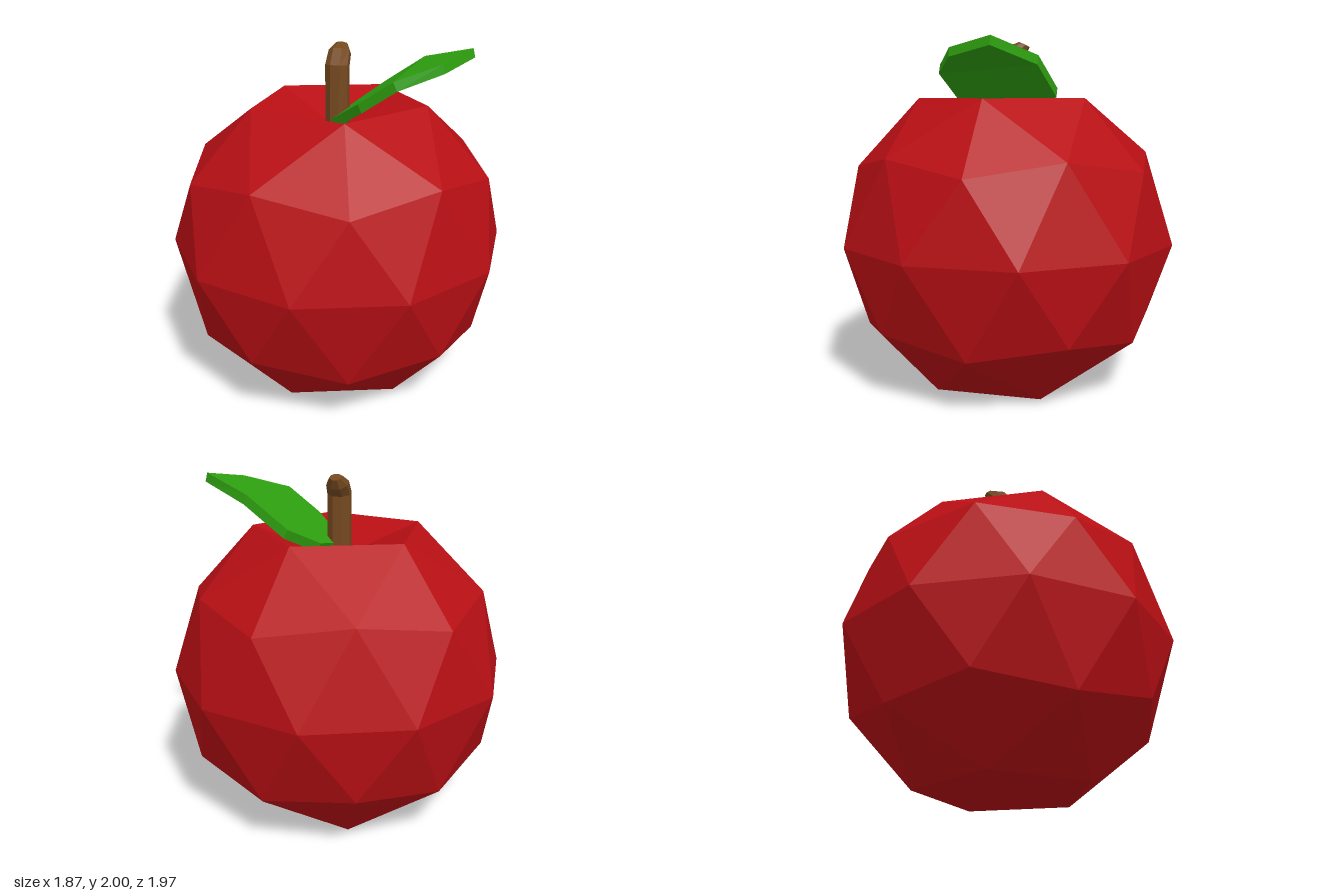
import * as THREE from 'three';

const paint = (color) => new THREE.MeshStandardMaterial({ color, flatShading: true });

function addMesh(group, name, geometry, color) {
  geometry.computeVertexNormals();
  const mesh = new THREE.Mesh(geometry, paint(color));
  mesh.name = name;
  group.add(mesh);
}

function fromTriangles(points, index) {
  const g = new THREE.BufferGeometry();
  g.setAttribute('position', new THREE.Float32BufferAttribute(points.flat(), 3));
  g.setIndex(index);
  return g.toNonIndexed();
}

// Faceted ball standing on a vertex, with both poles pushed inwards
function fruitGeometry() {
  const R = 0.985, rim = 0.838;
  const g = new THREE.IcosahedronGeometry(R, 1);
  g.rotateZ(-Math.atan(2 / (1 + Math.sqrt(5))));
  const p = g.attributes.position;
  for (let i = 0; i < p.count; i++) {
    const y = p.getY(i);
    if (Math.abs(y) > R * 0.95) p.setY(i, Math.sign(y) * (rim - 0.17));
  }
  return g.translate(0, rim, 0);
}

// Stem: stacked rings that lean back near the tip
function stemGeometry() {
  const sides = 8;
  // height, z offset, radius, backward tilt
  const rings = [
    [1.49, 0, 0.07, 0], [1.88, 0, 0.07, 0.15],
    [1.945, -0.055, 0.065, 0.5], [1.985, -0.105, 0.034, 0.45],
  ];
  const points = [], index = [];
  for (const [y, z, r, tilt] of rings) {
    for (let i = 0; i < sides; i++) {
      const a = ((i + 0.5) / sides) * Math.PI * 2;
      const s = Math.sin(a) * r;
      points.push([Math.cos(a) * r - 0.003, y + s * Math.sin(tilt), z + s * Math.cos(tilt)]);
    }
  }
  for (let k = 0; k < rings.length - 1; k++) {
    for (let i = 0; i < sides; i++) {
      const a = k * sides + i, b = k * sides + ((i + 1) % sides);
      index.push(a, a + sides, b, b, a + sides, b + sides);
    }
  }
  const top = (rings.length - 1) * sides;
  for (let i = 1; i < sides - 1; i++) {
    index.push(0, i, i + 1, top, top + i + 1, top + i);
  }
  return fromTriangles(points, index);
}

// Leaf: thick slab with one crease, flatter towards its tip
function leafGeometry() {
  const outline = [
    [-0.03, 0.06], [0.17, 0.24], [0.37, 0.285], [0.61, 0.15], [0.742, -0.11],
    [0.45, -0.29], [0.21, -0.345], [0.06, -0.2], [0.03, -0.1],
  ];
  const n = outline.length;
  const upper = outline.map(([x, z], i) => {
    const dx = x - 0.37, dz = z - 0.285;
    const outer = i === 3 || i === 4;
    return [x, 1.86 + (outer ? 0.315 * dx - 0.026 * dz : 0.694 * dx + 0.027 * dz), z];
  });
  const lower = upper.map(([x, y, z], i) => [x + (i > 2 && i < 5 ? 0.013 : 0.022), y - 0.05, z]);
  const index = [];
  for (const face of [[2, 5, 6, 7, 8, 0, 1], [2, 3, 4, 5]]) {
    for (let i = 1; i < face.length - 1; i++) {
      const [a, b, c] = [face[0], face[i], face[i + 1]];
      index.push(a, b, c, a + n, c + n, b + n);
    }
  }
  for (let i = 0; i < n; i++) {
    const j = (i + 1) % n;
    index.push(i, i + n, j, j, i + n, j + n);
  }
  return fromTriangles([...upper, ...lower], index);
}

export function createModel() {
  const group = new THREE.Group();
  group.name = 'apple';
  addMesh(group, 'fruit', fruitGeometry(), 0xb80f14);
  addMesh(group, 'stem', stemGeometry(), 0x75491f);
  addMesh(group, 'leaf', leafGeometry(), 0x2e9f10);
  return group;
}
